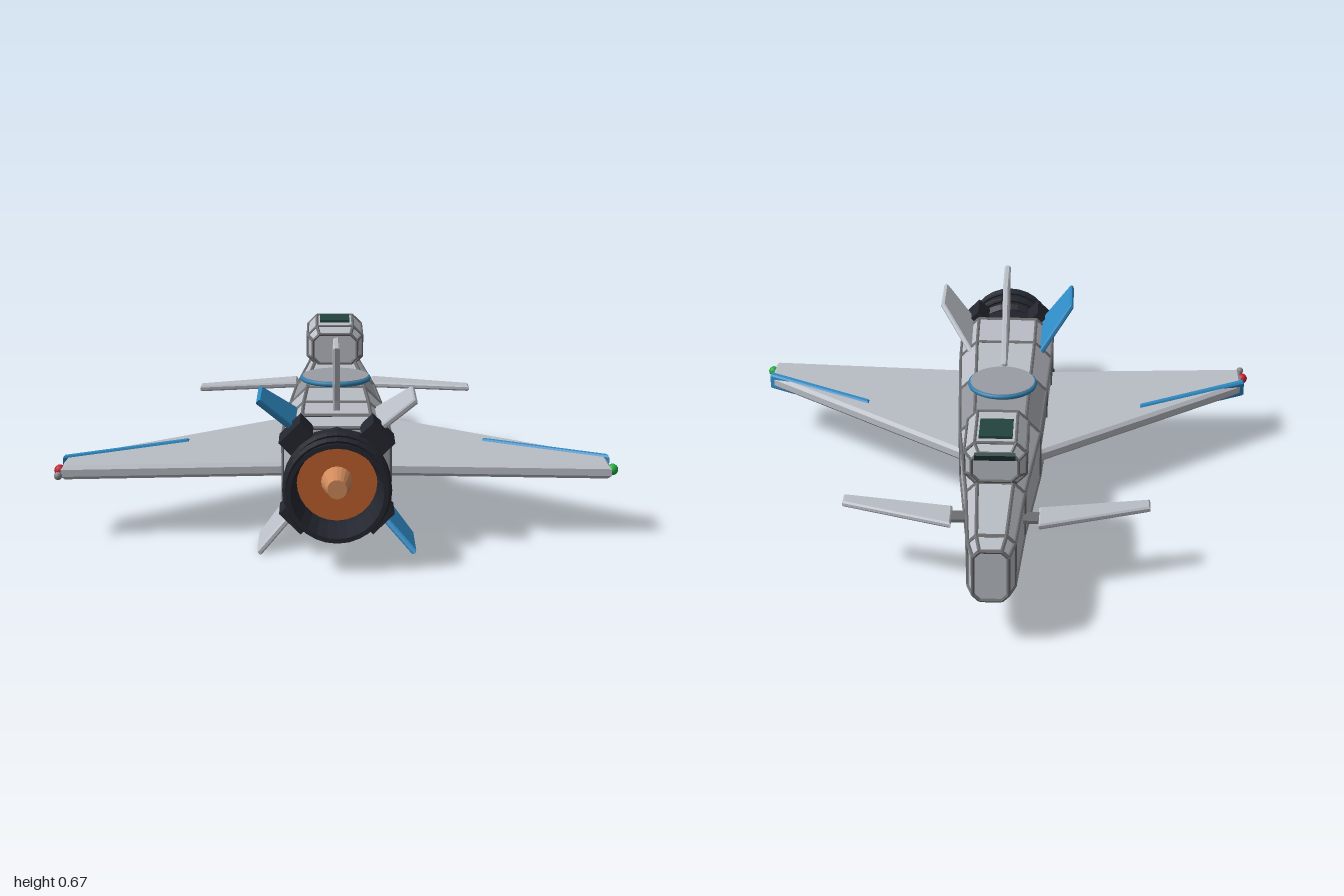
import * as THREE from 'three';
import { mergeGeometries } from 'three/addons/utils/BufferGeometryUtils.js';

const CY = 0.27; // height of the hull axis

const paint = (color, flat = true) =>
  new THREE.MeshStandardMaterial({ color, flatShading: flat, side: THREE.DoubleSide });
const mats = {
  hull: paint(0xb9bdc5), mid: paint(0x92959b), trim: paint(0x6c6d70),
  dark: paint(0x23262f), blue: paint(0x2f8ac4), glass: paint(0x24443f),
  orange: paint(0xc0602c), peach: paint(0xd08a5c),
  disc: paint(0x9a9da4, false), rim: paint(0x2f7fae, false),
  red: paint(0xc02030, false), green: paint(0x20b040, false), grey: paint(0x888888, false),
};

// Eight-sided section: z, half width, top, bottom, chamfer
function octagon([z, w, t, b, c]) {
  return [[w, b + c], [w, t - c], [w - c, t], [c - w, t], [-w, t - c], [-w, b + c], [c - w, b], [w - c, b]]
    .map(([x, y]) => new THREE.Vector3(x, y, z));
}

// Skin over consecutive sections, with closed ends
function loft(stations) {
  const rings = stations.map(octagon), pos = [];
  const tri = (...p) => p.forEach(v => pos.push(v.x, v.y, v.z));
  for (let k = 0; k < rings.length - 1; k++) {
    const a = rings[k], b = rings[k + 1];
    for (let i = 0; i < 8; i++) {
      const j = (i + 1) % 8;
      tri(a[i], a[j], b[j]);
      tri(a[i], b[j], b[i]);
    }
  }
  const first = rings[0], last = rings[rings.length - 1];
  for (let i = 1; i < 7; i++) {
    tri(first[0], first[i + 1], first[i]);
    tri(last[0], last[i], last[i + 1]);
  }
  const g = new THREE.BufferGeometry();
  g.setAttribute('position', new THREE.Float32BufferAttribute(pos, 3));
  g.computeVertexNormals();
  return g;
}

// Thin round bar between two points
function bar(p, q, r) {
  const d = q.clone().sub(p);
  const g = new THREE.CylinderGeometry(r, r, d.length(), 6);
  g.applyQuaternion(new THREE.Quaternion().setFromUnitVectors(new THREE.Vector3(0, 1, 0), d.normalize()));
  return g.translate(...p.clone().add(q).multiplyScalar(0.5).toArray());
}

// Bars along all long edges and around every section
function edgeTrim(stations, r) {
  const rings = stations.map(octagon), bars = [];
  rings.forEach((ring, k) => ring.forEach((p, i) => {
    bars.push(bar(p, ring[(i + 1) % 8], r));
    if (k < rings.length - 1) bars.push(bar(p, rings[k + 1][i], r));
  }));
  return mergeGeometries(bars);
}

// Flat bevelled plate from [x, z] corners, centred on y = 0
function plate(points, thick, bevel) {
  const g = new THREE.ExtrudeGeometry(new THREE.Shape(points.map(p => new THREE.Vector2(...p))), {
    depth: thick - 2 * bevel, bevelThickness: bevel, bevelSize: bevel, bevelOffset: -bevel, bevelSegments: 1,
  });
  return g.translate(0, 0, bevel - thick / 2).rotateX(Math.PI / 2);
}

export function createModel() {
  const model = new THREE.Group();
  const add = (name, geo, mat, x = 0, y = 0, z = 0) => {
    const m = new THREE.Mesh(geo, mats[mat]);
    m.name = name;
    m.position.set(x, y, z);
    model.add(m);
    return m;
  };

  // Hull sections and their edge strips
  const hull = [
    [-1, 0.058, 0.365, 0.18, 0.022], [-0.93, 0.077, 0.382, 0.165, 0.028], [-0.6, 0.1, 0.395, 0.153, 0.038],
    [-0.16, 0.145, 0.412, 0.128, 0.052], [0.17, 0.163, 0.428, 0.112, 0.06],
    [0.45, 0.177, 0.44, 0.102, 0.065], [0.66, 0.18, 0.445, 0.092, 0.065], [0.71, 0.145, 0.415, 0.125, 0.055],
  ];
  add('noseHull', loft(hull.slice(0, 4)), 'hull');
  add('middleHull', loft(hull.slice(3, 5)), 'mid');
  add('rearHull', loft(hull.slice(4)), 'hull');
  add('hullTrim', edgeTrim(hull, 0.007), 'trim');

  // Cockpit block with windows
  const cockpit = [
    [-0.63, 0.08, 0.525, 0.42, 0.025], [-0.6, 0.105, 0.55, 0.4, 0.035],
    [-0.365, 0.105, 0.55, 0.4, 0.035], [-0.33, 0.085, 0.525, 0.41, 0.025],
  ];
  add('cockpit', loft(cockpit), 'hull');
  add('cockpitTrim', edgeTrim(cockpit, 0.006), 'trim');
  add('roofWindow', new THREE.BoxGeometry(0.115, 0.014, 0.13), 'glass', 0, 0.553, -0.505);
  add('windowVisor', new THREE.BoxGeometry(0.14, 0.035, 0.012), 'glass', 0, 0.518, -0.64).rotation.x = -0.6;

  // Wings, canards, tip stripes and lights
  for (const s of [1, -1]) {
    const side = s > 0 ? 'left' : 'right';
    const mirror = pts => pts.map(([x, z]) => [x * s, z]);
    add(side + 'Wing', plate(mirror([[0.12, -0.13], [0.17, -0.095], [0.935, 0.485], [0.935, 0.625], [0.12, 0.575]]), 0.048, 0.012),
      'hull', 0, 0.235);
    add(side + 'WingStripe', plate(mirror([[0.525, 0.258], [0.942, 0.487], [0.942, 0.518], [0.525, 0.288]]), 0.06, 0.006),
      'blue', 0, 0.235);
    add(side + 'Canard', plate(mirror([[0.15, -0.685], [0.535, -0.55], [0.535, -0.492], [0.15, -0.56]]), 0.022, 0.006),
      'hull', 0, 0.272);
    add(side + 'CanardMount', new THREE.BoxGeometry(0.09, 0.012, 0.06), 'trim', 0.12 * s, 0.272, -0.62);
    add(side + 'TipLight', new THREE.SphereGeometry(0.02, 12, 8), s > 0 ? 'green' : 'red', 0.943 * s, 0.235, 0.583);
  }
  add('tipSensor', new THREE.SphereGeometry(0.014, 10, 8), 'grey', -0.94, 0.235, 0.655);

  // Tail fins: one upright, four diagonal
  const dorsal = [[0.13, 0.25], [0.17, 0.25], [0.405, 0.485], [0.405, 0.667], [0.21, 0.595], [0.13, 0.575]];
  const tail = [[0.15, 0.41], [0.2, 0.43], [0.367, 0.61], [0.367, 0.81], [0.19, 0.725], [0.15, 0.7]];
  add('dorsalFin', plate(dorsal, 0.024, 0.006), 'hull', 0, CY).rotation.z = Math.PI / 2;
  for (let i = 0; i < 4; i++) {
    const a = Math.PI * (0.25 + i / 2);
    add('tailFin', plate(tail, 0.02, 0.005), i % 2 ? 'blue' : 'hull', 0, CY).rotation.z = a;
    const r = 0.19;
    add('finClamp', new THREE.BoxGeometry(0.06, 0.1, 0.13), 'dark', r * Math.cos(a), CY + r * Math.sin(a), 0.755).rotation.z = a;
  }

  // Engine: collar, hollow nozzle, ribs, burner
  add('engineCollar', new THREE.CylinderGeometry(0.15, 0.15, 0.15, 12).rotateX(Math.PI / 2), 'dark', 0, CY, 0.765);
  const profile = [[0, 0.82], [0.15, 0.82], [0.165, 0.84], [0.158, 0.88], [0.165, 0.92], [0.158, 0.96],
    [0.165, 1], [0.15, 1], [0.132, 0.9], [0.132, 0.845]].map(p => new THREE.Vector2(...p));
  add('nozzle', new THREE.LatheGeometry(profile, 28).rotateX(Math.PI / 2), 'dark', 0, CY);
  for (const z of [0.88, 0.955]) add('nozzleRib', new THREE.TorusGeometry(0.166, 0.011, 8, 32), 'dark', 0, CY, z);
  add('burnerPlate', new THREE.CylinderGeometry(0.134, 0.134, 0.01, 28).rotateX(Math.PI / 2), 'orange', 0, CY, 0.85);
  add('burnerCone', new THREE.CylinderGeometry(0.032, 0.053, 0.1, 20).rotateX(Math.PI / 2), 'peach', 0, CY, 0.9);

  // Round sensor dishes above and below
  for (const [name, s, y, z] of [['upperDish', 1, 0.445, 0.077], ['lowerDish', -1, 0.108, -0.09]]) {
    add(name + 'Base', new THREE.CylinderGeometry(s > 0 ? 0.11 : 0.06, s > 0 ? 0.06 : 0.11, 0.05, 24), 'mid', 0, y - s * 0.03, z);
    add(name, new THREE.CylinderGeometry(0.12, 0.12, 0.022, 36), 'disc', 0, y, z);
    add(name + 'Rim', new THREE.TorusGeometry(0.12, 0.009, 8, 40).rotateX(Math.PI / 2), 'rim', 0, y, z);
  }

  // Belly sensors
  add('bellyBlock', new THREE.BoxGeometry(0.13, 0.03, 0.09), 'trim', 0, 0.105, 0.09);
  for (const x of [-0.04, 0.04]) add('bellyPod', new THREE.CylinderGeometry(0.014, 0.014, 0.07, 10).rotateX(Math.PI / 2), 'grey', x, 0.088, 0.09);
  add('bellyLight', new THREE.SphereGeometry(0.014, 10, 8), 'grey', 0, 0.142, -0.44);
  return model;
}
